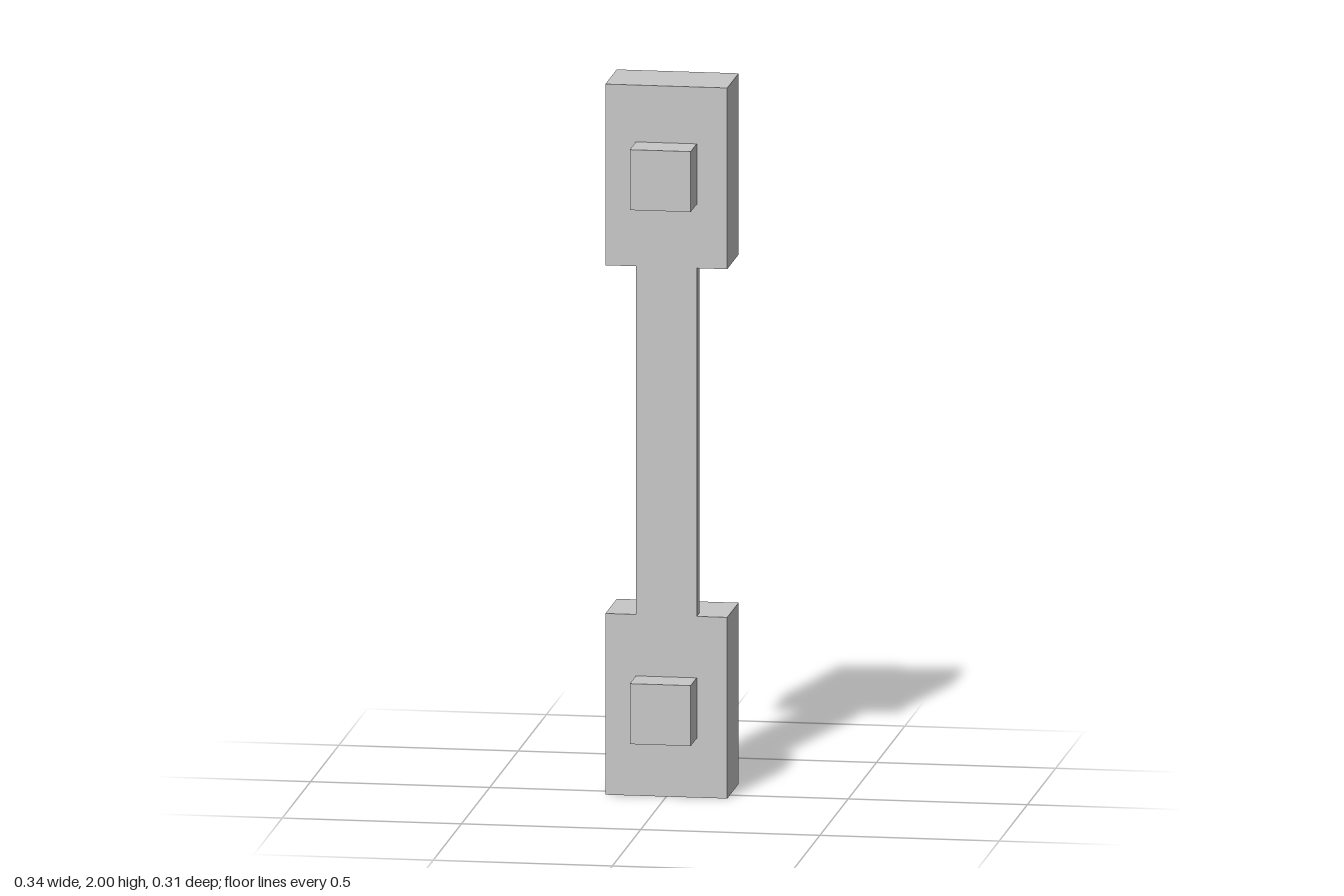
import * as THREE from 'three';

export function createModel() {
  const model = new THREE.Group();
  model.name = 'doorHandle';

  const lightGrey = new THREE.MeshStandardMaterial({ color: 0xc7c7c7 });
  lightGrey.name = 'lightGrey';

  // Box given by its lower and upper corners
  function addBox(name, [x0, y0, z0], [x1, y1, z1]) {
    const geometry = new THREE.BoxGeometry(x1 - x0, y1 - y0, z1 - z0);
    const mesh = new THREE.Mesh(geometry, lightGrey);
    mesh.position.set((x0 + x1) / 2, (y0 + y1) / 2, (z0 + z1) / 2);
    mesh.name = name;
    model.add(mesh);
  }

  const front = 0.047; // shared front plane of the bar and both blocks

  // Thin bar joining the two end blocks
  addBox('bar', [-0.085, 0.51, 0], [0.085, 1.49, front]);

  // End blocks, each with a small square peg on its front
  for (const [end, blockY, pegY] of [['lower', 0, 0.167], ['upper', 1.49, 1.67]]) {
    addBox(end + 'Block', [-0.17, blockY, -0.154], [0.17, blockY + 0.51, front]);
    addBox(end + 'Peg', [-0.085, pegY, front], [0.085, pegY + 0.17, 0.154]);
  }

  return model;
}
